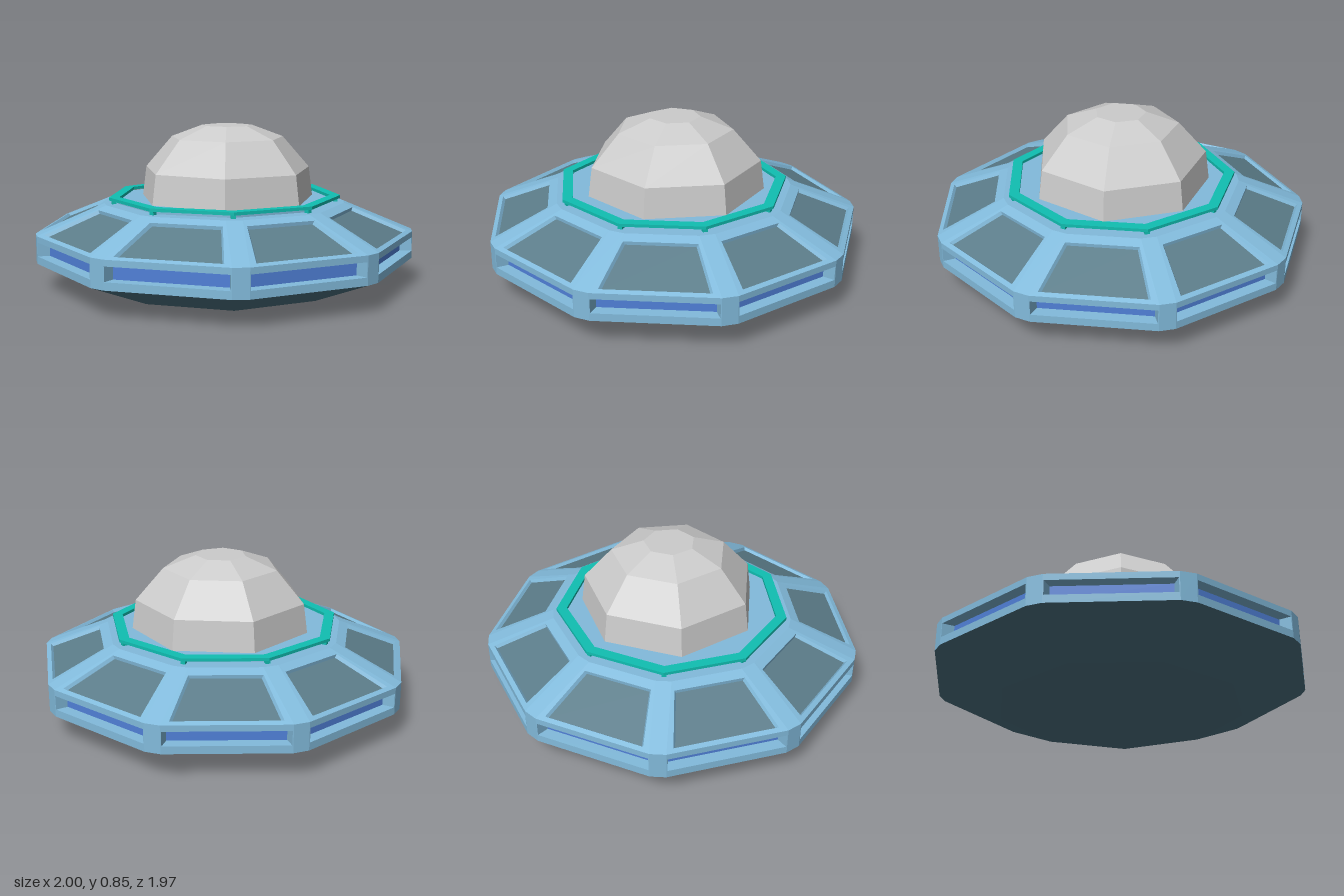
import * as THREE from 'three';

const RAD = Math.PI / 180;
const SIDES = 9;
const paint = (color) => new THREE.MeshStandardMaterial({ color, flatShading: true });

// Point at radius r and sideways offset u, on the direction `deg` (0 = front, +90 = left)
function polar(deg, r, u, y) {
  const s = Math.sin(deg * RAD), c = Math.cos(deg * RAD);
  return [r * s + u * c, y, r * c - u * s];
}

// Regular polygon, counter-clockwise from above, with a vertex at the back
function polygon(n, r, y) {
  return Array.from({ length: n }, (_, k) => polar((k + 0.5) * 360 / n, r, 0, y));
}

// Nine-sided outline whose corners are cut back by s along each edge
function cutRing(r, y, s) {
  const ring = [];
  for (let k = 0; k < SIDES; k++) {
    for (const side of [-1, 1]) {
      ring.push(polar(20 + 40 * k, r - s * Math.sin(20 * RAD), side * s * Math.cos(20 * RAD), y));
    }
  }
  return ring;
}

// Faceted skin through closed loops, with optional flat ends
function loft(rings, capStart = false, capEnd = false) {
  const pos = [];
  const tri = (a, b, c) => pos.push(...a, ...b, ...c);
  for (let j = 0; j < rings.length - 1; j++) {
    const A = rings[j], B = rings[j + 1], n = A.length;
    for (let i = 0; i < n; i++) {
      const k = (i + 1) % n;
      tri(A[i], A[k], B[k]);
      tri(A[i], B[k], B[i]);
    }
  }
  const cap = (ring, flip) => {
    for (let i = 1; i < ring.length - 1; i++) {
      if (flip) tri(ring[0], ring[i + 1], ring[i]);
      else tri(ring[0], ring[i], ring[i + 1]);
    }
  };
  if (capStart) cap(rings[0], true);
  if (capEnd) cap(rings[rings.length - 1], false);
  const geo = new THREE.BufferGeometry();
  geo.setAttribute('position', new THREE.Float32BufferAttribute(pos, 3));
  geo.computeVertexNormals();
  return geo;
}

export function createModel() {
  const model = new THREE.Group();
  model.name = 'flyingSaucer';
  const body = new THREE.Group();
  body.name = 'saucerBody';
  body.position.z = 0.02;
  model.add(body);

  const frameMat = paint(0x82bbdc);
  const hullMat = paint(0x4f7484);
  const panelMat = paint(0x5c7d8a);
  const glassMat = paint(0x5080d8);
  const tealMat = paint(0x10bfb2);

  const add = (name, geo, mat, parent = body) => {
    const mesh = new THREE.Mesh(geo, mat);
    mesh.name = name;
    parent.add(mesh);
    return mesh;
  };

  // Outlines of the body from bottom to top
  const R = 1.023, CUT = 0.043;
  const base = cutRing(0.66, 0, 0.004);
  const low = cutRing(R, 0.147, CUT);
  const mid = cutRing(R, 0.293, CUT);
  const top = cutRing(0.66, 0.44, CUT);

  add('lowerHull', loft([base, low], true), hullMat);

  // Deck with a low raised step under the dome
  add('deck', loft([top, polygon(SIDES, 0.58, 0.44).flatMap((p) => [p, p]),
    polygon(SIDES, 0.58, 0.452).flatMap((p) => [p, p])], false, true), frameMat);

  // Trapezoid on side k: half-widths, heights and radii of its lower and upper edges
  const trapezoid = (k, u0, y0, r0, u1, y1, r1) => [
    polar(40 * k, r0, -u0, y0), polar(40 * k, r0, u0, y0),
    polar(40 * k, r1, u1, y1), polar(40 * k, r1, -u1, y1),
  ];
  const sideQuad = (A, B, i) => {
    const j = (i + 1) % A.length;
    return [A[i], A[j], B[j], B[i]];
  };
  const wallR = R * Math.cos(20 * RAD);
  const slopeY = (r) => 0.293 + (wallR - r) * 0.43;

  for (let k = 0; k < SIDES; k++) {
    const edge = (2 * k + 17) % 18;

    // Upright rim with a recessed window
    const opening = trapezoid(k, 0.302, 0.187, wallR, 0.302, 0.261, wallR);
    const pane = trapezoid(k, 0.282, 0.187, wallR - 0.06, 0.282, 0.261, wallR - 0.06);
    add('rimFrame', loft([sideQuad(low, mid, edge), opening, pane]), frameMat);
    add('rimWindow', loft([pane], false, true), glassMat);

    // Sloping roof with a sunken panel
    const hole = trapezoid(k, 0.265, slopeY(0.938), 0.938, 0.182, slopeY(0.668), 0.668);
    const sunk = trapezoid(k, 0.253, slopeY(0.925) - 0.018, 0.925,
      0.173, slopeY(0.668) - 0.018, 0.666);
    add('roofFrame', loft([sideQuad(mid, top, edge), hole, sunk]), frameMat);
    add('roofPanel', loft([sunk], false, true), panelMat);

    // Cut corners of rim and roof
    add('rimCorner', loft([sideQuad(low, mid, 2 * k)], false, true), frameMat);
    add('roofCorner', loft([sideQuad(mid, top, 2 * k)], false, true), frameMat);

    // Small feet that carry the teal ring
    const foot = add('ringFoot', new THREE.BoxGeometry(0.025, 0.024, 0.025), tealMat);
    foot.position.set(...polar(20 + 40 * k, 0.6, 0, 0.45));
    foot.rotation.y = (20 + 40 * k) * RAD;
  }

  // Teal ring around the dome
  add('domeRing', loft([
    polygon(SIDES, 0.57, 0.459), polygon(SIDES, 0.626, 0.459),
    polygon(SIDES, 0.626, 0.475), polygon(SIDES, 0.57, 0.475),
    polygon(SIDES, 0.57, 0.459),
  ]), tealMat);

  // Seven-sided faceted dome
  const domeProfile = [[0.483, 0.44], [0.46, 0.61], [0.31, 0.78], [0.137, 0.845]];
  const dome = add('dome', loft(domeProfile.map(([r, y]) => polygon(7, r, y)), true, true),
    paint(0xcccccc), model);
  dome.position.set(0.018, 0, 0.018);

  return model;
}
